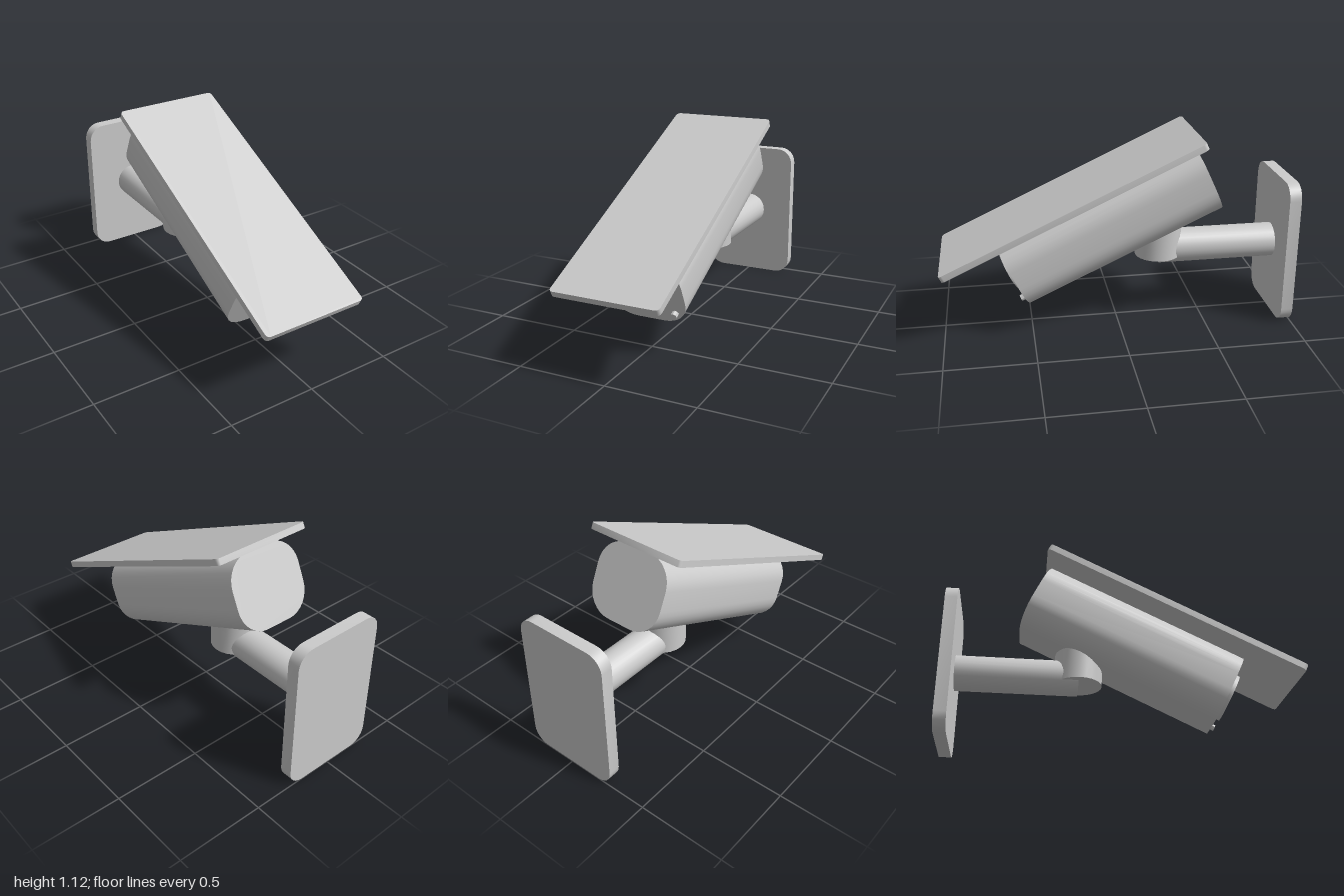
import * as THREE from 'three';
import { toCreasedNormals } from 'three/addons/utils/BufferGeometryUtils.js';

const grey = new THREE.MeshStandardMaterial({ color: 0xcccccc });
grey.name = 'grey';

// Rounded slab in the XY plane, centred, extruded along z
function roundedSlab(w, h, depth, r, segments) {
  const x = w / 2, y = h / 2;
  const s = new THREE.Shape();
  s.moveTo(x, -y + r);
  s.lineTo(x, y - r);
  s.absarc(x - r, y - r, r, 0, Math.PI / 2);
  s.absarc(-x + r, y - r, r, Math.PI / 2, Math.PI);
  s.absarc(-x + r, -y + r, r, Math.PI, Math.PI * 1.5);
  s.absarc(x - r, -y + r, r, Math.PI * 1.5, Math.PI * 2);
  const g = new THREE.ExtrudeGeometry(s, { depth, bevelEnabled: false, curveSegments: segments });
  g.translate(0, 0, -depth / 2);
  return g;
}

function addPart(parent, name, geometry, x, y, z) {
  const mesh = new THREE.Mesh(toCreasedNormals(geometry, 0.65), grey);
  mesh.name = name;
  mesh.position.set(x, y, z);
  parent.add(mesh);
  return mesh;
}

// Cylinder lying along z
function rod(r, length, sides) {
  return new THREE.CylinderGeometry(r, r, length, sides).rotateX(Math.PI / 2);
}

export function createModel() {
  const model = new THREE.Group();
  model.name = 'securityCamera';

  // Wall mount: plate, arm and knuckle
  addPart(model, 'wallPlate', roundedSlab(0.56, 0.843, 0.068, 0.09, 3), 0, 0.4215, -0.966);
  addPart(model, 'arm', rod(0.1, 0.69, 24), 0, 0.423, -0.597);
  addPart(model, 'knuckle', new THREE.CylinderGeometry(0.134, 0.134, 0.184, 24), 0, 0.471, -0.249);

  // Housing tilted down towards the front
  const head = new THREE.Group();
  head.name = 'cameraHead';
  head.position.set(0, 0.6155, 0.046);
  head.rotation.x = THREE.MathUtils.degToRad(25);
  model.add(head);

  addPart(head, 'housing', roundedSlab(0.465, 0.42, 1.212, 0.155, 4), 0, 0, 0);
  addPart(head, 'visor', roundedSlab(0.606, 1.591, 0.036, 0.022, 2).rotateX(Math.PI / 2), 0, 0.231, 0.141);

  // Front details
  addPart(head, 'lens', rod(0.14, 0.04, 20), 0, 0, 0.613);
  addPart(head, 'indicator', rod(0.019, 0.04, 8), 0.161, -0.136, 0.613);

  return model;
}
